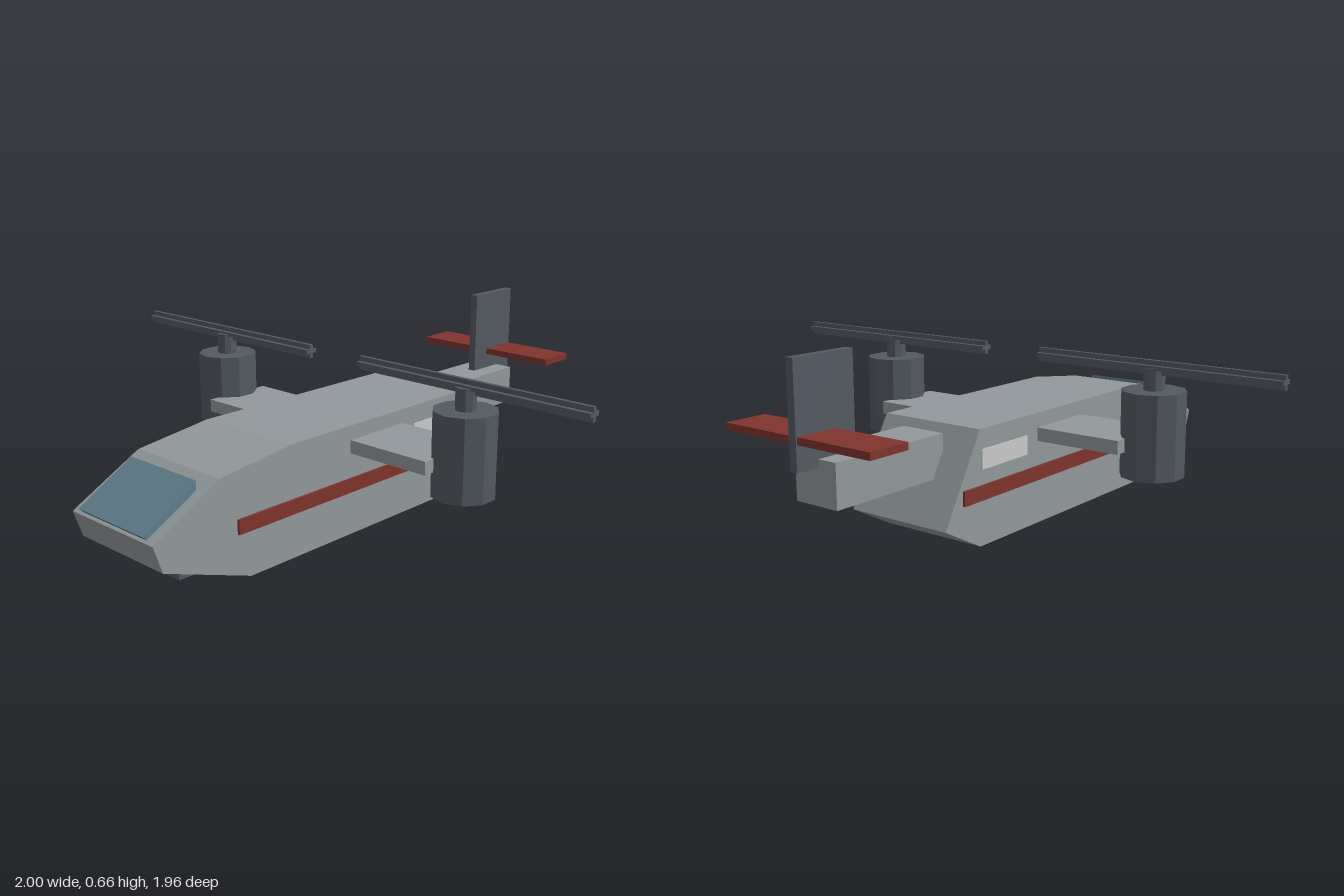
import * as THREE from 'three';

const mat = (color) => new THREE.MeshStandardMaterial({ color, flatShading: true });

export function createModel() {
  const model = new THREE.Group();
  model.name = 'tiltrotorAircraft';

  const hull = mat(0x92989b);
  const dark = mat(0x545a63);
  const red = mat(0x7f342d);
  const glass = mat(0x5f7f8c);
  const pane = mat(0xcccccc);

  const add = (name, geometry, material, parent = model) => {
    const mesh = new THREE.Mesh(geometry, material);
    mesh.name = name;
    parent.add(mesh);
    return mesh;
  };

  // Box given by its [min, max] range on each axis
  const box = (name, x, y, z, material, parent) => {
    const g = new THREE.BoxGeometry(x[1] - x[0], y[1] - y[0], z[1] - z[0]);
    g.translate((x[0] + x[1]) / 2, (y[0] + y[1]) / 2, (z[0] + z[1]) / 2);
    return add(name, g, material, parent);
  };

  // Side profile of [z, y] points, extruded across x and centred
  const slab = (name, points, width, material) => {
    const shape = new THREE.Shape(points.map(([z, y]) => new THREE.Vector2(-z, y)));
    const g = new THREE.ExtrudeGeometry(shape, { depth: width, bevelEnabled: false });
    g.translate(0, 0, -width / 2);
    g.rotateY(Math.PI / 2);
    return add(name, g, material);
  };

  // Fuselage and cockpit
  slab('fuselage', [
    [0.97, 0.21], [0.94, 0.12], [0.61, 0], [-0.40, 0],
    [-0.567, 0.09], [-0.40, 0.38], [0.44, 0.38], [0.72, 0.345],
  ], 0.394, hull);
  slab('windshield', [[0.975, 0.23], [0.955, 0.21], [0.777, 0.30], [0.777, 0.345]], 0.31, glass);
  box('chinSensor', [-0.066, 0.066], [0.002, 0.065], [0.635, 0.785], dark);

  // Tail
  box('tailBoom', [-0.083, 0.083], [0.22, 0.36], [-0.9, -0.443], hull);
  box('tailFin', [-0.014, 0.014], [0.335, 0.66], [-0.98, -0.753], dark);
  box('tailplane', [-0.293, 0.293], [0.415, 0.438], [-0.975, -0.828], red);

  // Parts repeated on both sides
  for (const s of [1, -1]) {
    const side = new THREE.Group();
    side.name = s > 0 ? 'leftSide' : 'rightSide';
    model.add(side);
    const across = (a, b) => (s > 0 ? [a, b] : [-b, -a]);

    box('sideStripe', across(0.19, 0.206), [0.152, 0.2], [-0.485, 0.66], red, side);
    box('sideWindow', across(0.19, 0.2), [0.25, 0.315], [-0.392, -0.155], pane, side);
    box('wing', across(0.15, 0.508), [0.285, 0.33], [-0.097, 0.165], hull, side);

    // Engine nacelle, rotor mast and cross-section blade
    const rotor = new THREE.Group();
    rotor.name = 'rotorUnit';
    rotor.position.set(s * 0.558, 0, 0.034);
    side.add(rotor);
    add('nacelle', new THREE.CylinderGeometry(0.106, 0.106, 0.28, 10), dark, rotor).position.y = 0.34;
    add('rotorMast', new THREE.CylinderGeometry(0.035, 0.035, 0.075, 10), dark, rotor).position.y = 0.515;
    add('bladeFlat', new THREE.BoxGeometry(0.884, 0.014, 0.046), dark, rotor).position.set(0, 0.553, -0.005);
    add('bladeRib', new THREE.BoxGeometry(0.884, 0.046, 0.014), dark, rotor).position.set(0, 0.553, -0.005);
  }

  return model;
}
